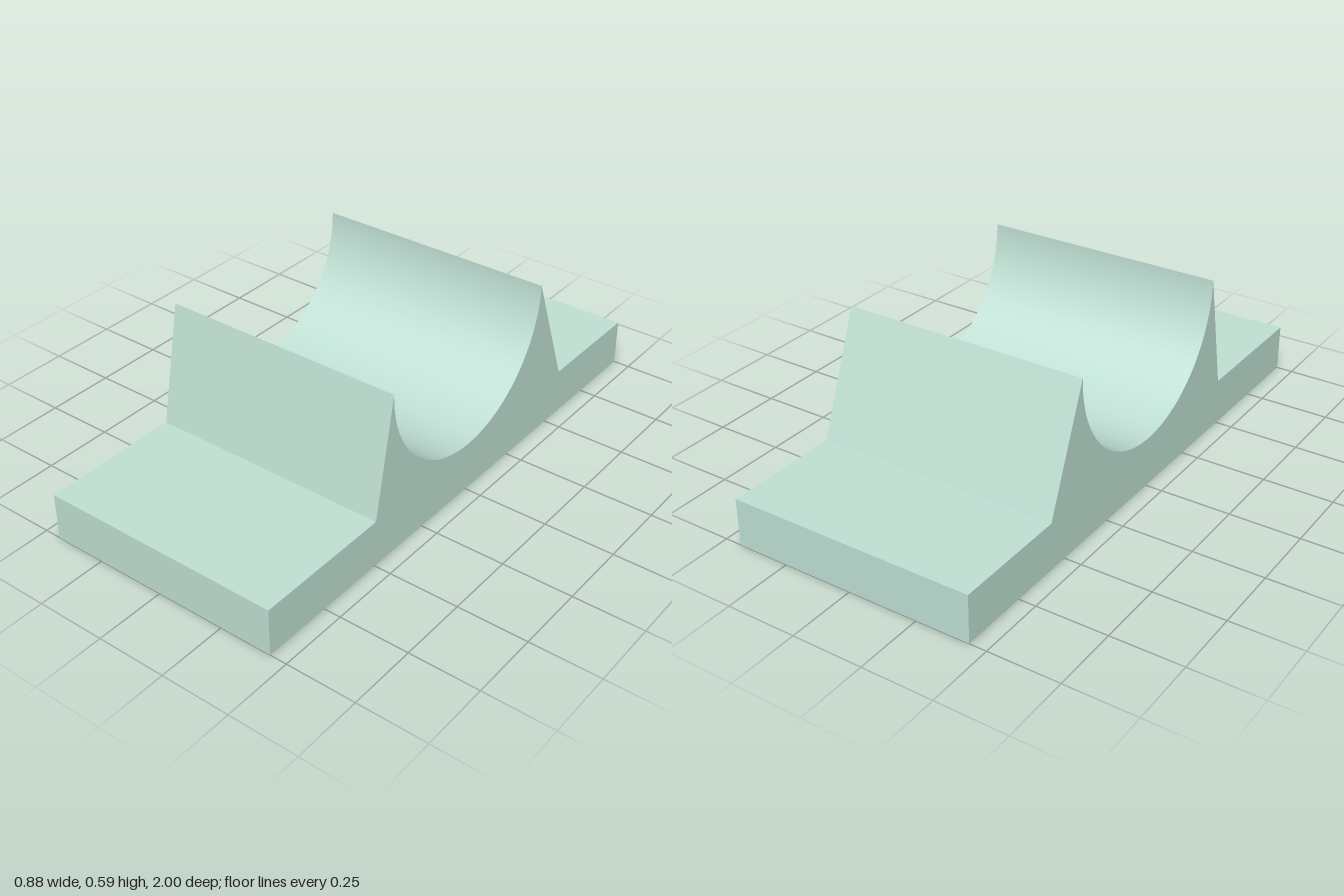
import * as THREE from 'three';
import { toCreasedNormals } from 'three/addons/utils/BufferGeometryUtils.js';

export function createModel() {
  const group = new THREE.Group();
  const width = 0.88, baseTop = 0.17, peak = 0.59, radius = 0.41;

  // Side profile (shape x = depth z): flat feet, two sloped walls, round trough
  const profile = new THREE.Shape();
  profile.moveTo(-1, 0);
  profile.lineTo(1, 0);
  profile.lineTo(1, baseTop);
  profile.lineTo(0.495, baseTop);
  profile.lineTo(radius, peak);
  profile.absarc(0, peak, radius, 0, -Math.PI, true);
  profile.lineTo(-0.575, baseTop);
  profile.lineTo(-1, baseTop);
  profile.closePath();

  // Extrude across the width, turning the profile to face sideways
  const geometry = new THREE.ExtrudeGeometry(profile, {
    depth: width, bevelEnabled: false, curveSegments: 64,
  });
  geometry.translate(0, 0, -width / 2);
  geometry.rotateY(-Math.PI / 2);

  const cradle = new THREE.Mesh(
    toCreasedNormals(geometry, 0.3),
    new THREE.MeshStandardMaterial({ color: 0xc0e0d4 }),
  );
  cradle.name = 'cradleBlock';
  group.add(cradle);
  return group;
}
